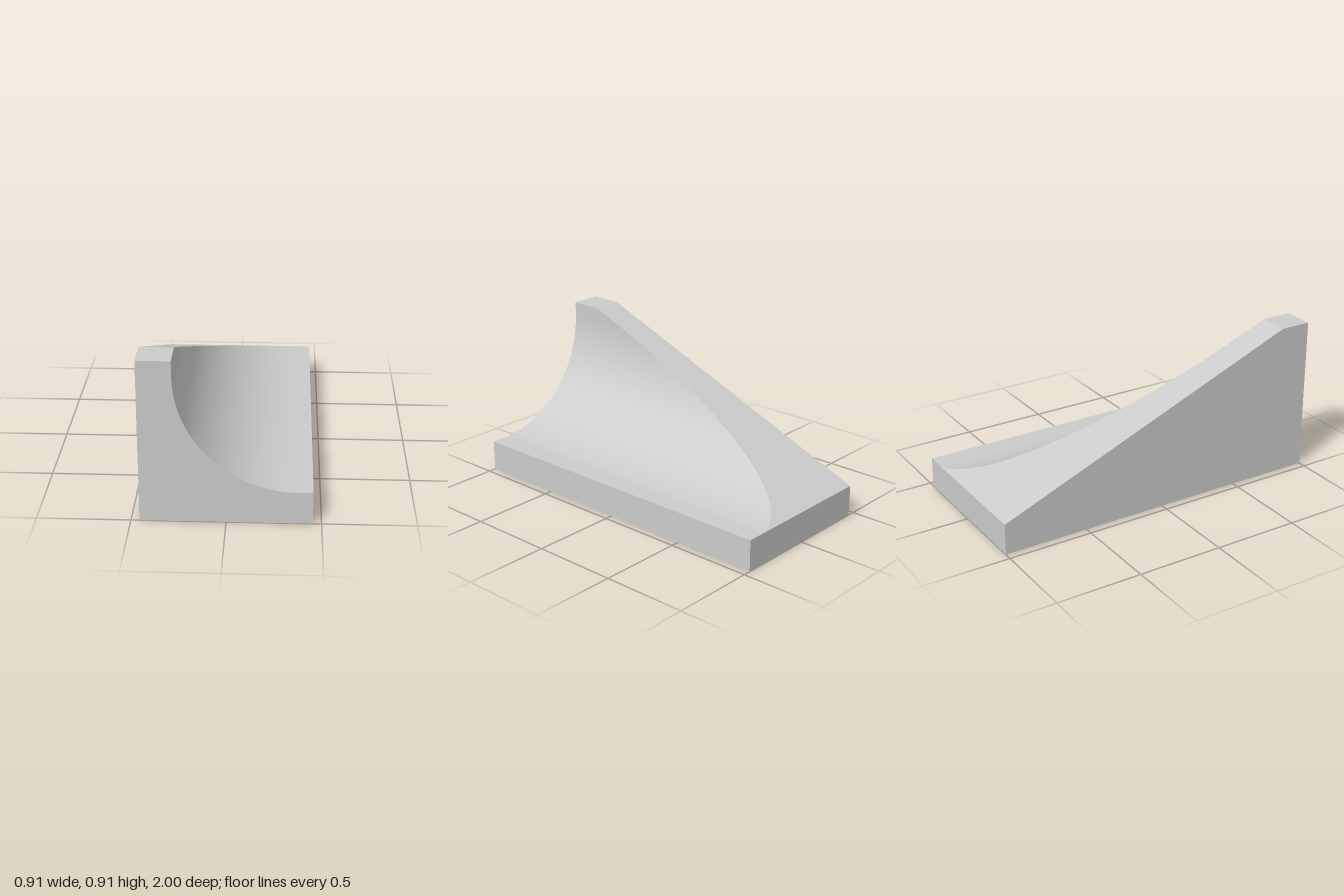
import * as THREE from 'three';
import { toCreasedNormals } from 'three/addons/utils/BufferGeometryUtils.js';

const HALF_W = 0.4545, BASE = 0.182, TOP = 0.909, WALL = -0.273, RADIUS = 0.65, SEGMENTS = 40;

// Upper outline across x: wall top, concave fillet, flat strip
function outline() {
  const pts = [[-HALF_W, TOP], [WALL, TOP]];
  for (let i = 0; i <= SEGMENTS; i++) {
    const a = (i / SEGMENTS) * Math.PI / 2;
    pts.push([WALL + RADIUS * (1 - Math.cos(a)), BASE + RADIUS * (1 - Math.sin(a))]);
  }
  pts.push([HALF_W, BASE]);
  return pts;
}

// Section at one x: full height at the front, sloping down to the base at the back
function section([x, h]) {
  const slopeZ = -1 + (h - BASE) * 2.5;
  return [[1, 0], [1, h], [slopeZ, h], [-1, BASE], [-1, 0]]
    .map(([z, y]) => new THREE.Vector3(x, y, z));
}

function bracketGeometry() {
  const positions = [];
  const triangle = (a, b, c) => {
    if (new THREE.Triangle(a, b, c).getArea() < 1e-7) return;
    for (const p of [a, b, c]) positions.push(p.x, p.y, p.z);
  };
  const rings = outline().map(section);

  // Skin between neighbouring sections
  for (let i = 0; i < rings.length - 1; i++) {
    const r = rings[i], s = rings[i + 1];
    for (let j = 0; j < 5; j++) {
      const k = (j + 1) % 5;
      triangle(r[j], s[j], s[k]);
      triangle(r[j], s[k], r[k]);
    }
  }

  // Side faces
  const first = rings[0], last = rings[rings.length - 1];
  for (let j = 1; j < 4; j++) {
    triangle(first[0], first[j], first[j + 1]);
    triangle(last[0], last[j + 1], last[j]);
  }

  const geometry = new THREE.BufferGeometry();
  geometry.setAttribute('position', new THREE.Float32BufferAttribute(positions, 3));
  return toCreasedNormals(geometry, 0.2);
}

export function createModel() {
  const group = new THREE.Group();
  group.name = 'filletedWedge';
  const body = new THREE.Mesh(bracketGeometry(), new THREE.MeshStandardMaterial({ color: 0xcccccc }));
  body.name = 'wedgeBody';
  group.add(body);
  return group;
}
